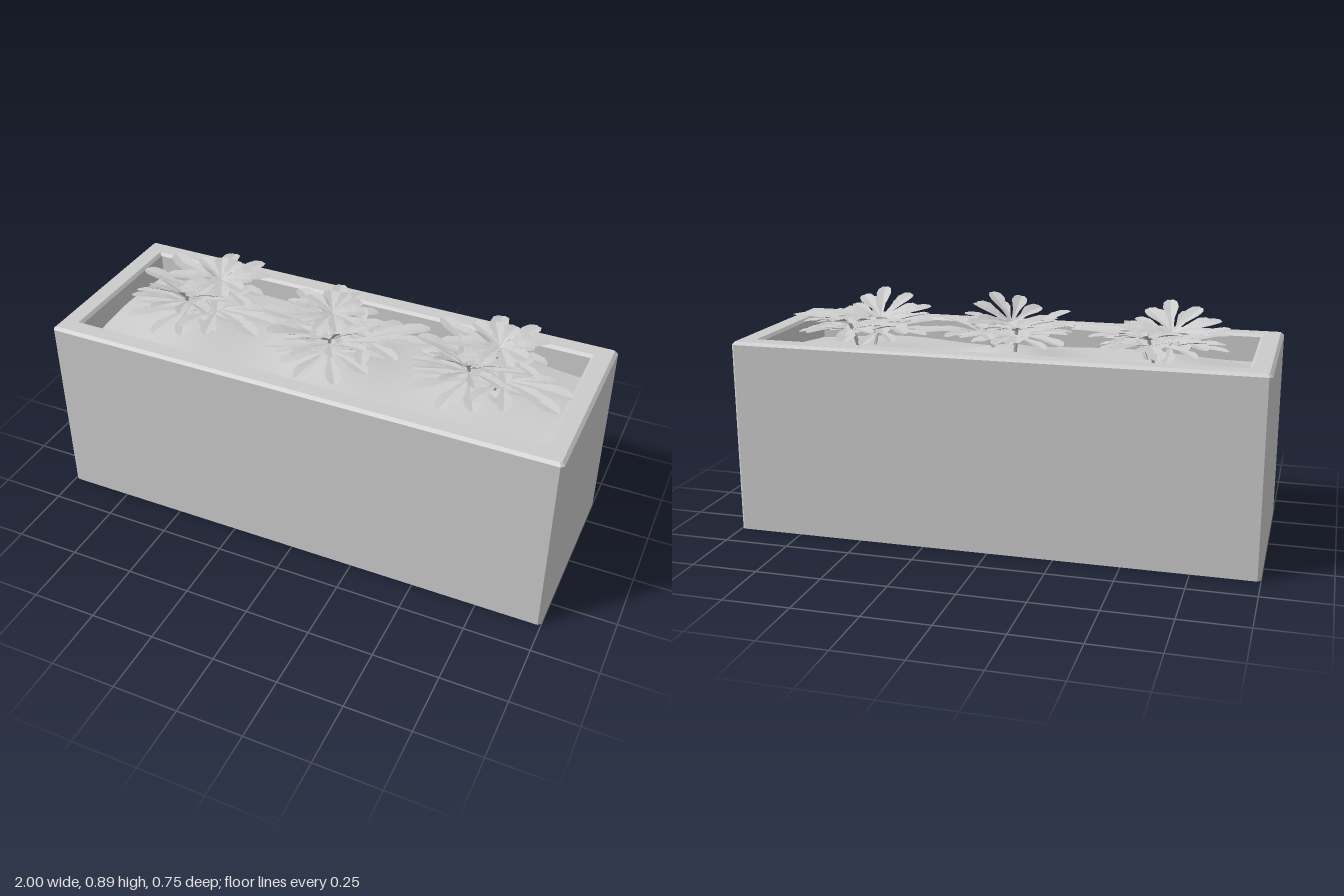
import * as THREE from 'three';
import { mergeGeometries } from 'three/addons/utils/BufferGeometryUtils.js';

const flat = new THREE.MeshStandardMaterial({ color: 0xcccccc, flatShading: true, side: THREE.DoubleSide });
const smooth = new THREE.MeshStandardMaterial({ color: 0xcccccc, side: THREE.DoubleSide });

function seeded(seed) {
  return () => {
    seed = (seed * 16807) % 2147483647;
    return seed / 2147483647;
  };
}

// Skin over equal-length cross-sections of [x, y, z] points
function loft(sections, closed) {
  const n = sections[0].length;
  const index = [];
  for (let s = 0; s < sections.length - 1; s++) {
    for (let i = 0; i < (closed ? n : n - 1); i++) {
      const a = s * n + i, b = s * n + ((i + 1) % n);
      index.push(a, a + n, b, b, a + n, b + n);
    }
  }
  const g = new THREE.BufferGeometry();
  g.setAttribute('position', new THREE.Float32BufferAttribute(sections.flat(2), 3));
  g.setIndex(index);
  g.computeVertexNormals();
  return g;
}

// Rectangle with clipped corners at height y
function clippedRect(hx, hz, c, y) {
  return [
    [hx, y, hz - c], [hx, y, c - hz], [hx - c, y, -hz], [c - hx, y, -hz],
    [-hx, y, c - hz], [-hx, y, hz - c], [c - hx, y, hz], [hx - c, y, hz],
  ];
}

// Bottomless trough: outer wall, bevelled rim, inner wall
function planterBox() {
  const g = loft([
    clippedRect(1, 0.372, 0.012, 0),
    clippedRect(1, 0.372, 0.012, 0.735),
    clippedRect(0.988, 0.36, 0.006, 0.746),
    clippedRect(0.926, 0.3, 0.002, 0.746),
    clippedRect(0.915, 0.29, 0.002, 0.735),
    clippedRect(0.915, 0.29, 0.002, 0.6),
  ], true);
  const mesh = new THREE.Mesh(g, flat);
  mesh.name = 'planterBox';
  return mesh;
}

// Plants: x, z, turn about the vertical
const plants = [[-0.575, -0.05, 0], [-0.005, -0.01, 0.7], [0.58, -0.05, 0]];

// Uneven soil, mounded under each plant
function soil() {
  const g = new THREE.PlaneGeometry(1.83, 0.58, 36, 14).rotateX(-Math.PI / 2);
  const p = g.attributes.position;
  for (let i = 0; i < p.count; i++) {
    const x = p.getX(i), z = p.getZ(i);
    let y = 0.645 + 0.012 * Math.sin(x * 7 + 1) * Math.cos(z * 9);
    for (const [px, pz] of plants) {
      y += 0.055 * Math.exp(-((x - px) ** 2 + (z - pz) ** 2) / 0.05);
    }
    p.setY(i, y);
  }
  g.computeVertexNormals();
  const mesh = new THREE.Mesh(g, smooth);
  mesh.name = 'soil';
  return mesh;
}

// Spoon-shaped leaf along +z: narrow base, broad shoulder, clipped tip
function leaf(length, width, droop) {
  const profile = [[0, 0.12], [0.4, 0.42], [0.72, 1], [0.9, 0.85], [1, 0.35]];
  return loft(profile.map(([t, w]) => {
    const h = w * width / 2, y = 0.03 * t - droop * t * t;
    return [[-h, y + h * 0.2, t * length], [0, y, t * length], [h, y + h * 0.2, t * length]];
  }), false);
}

// Rings: x, y, z of centre, leaf count, length, rise angle, tilt about x, tilt about z
const rings = [
  [-0.03, 0.785, 0.08, 9, 0.165, 0.2, -0.42, 0],
  [-0.03, 0.77, 0.08, 10, 0.2, 0.1, -0.2, 0.05],
  [-0.03, 0.735, 0.07, 11, 0.225, 0.02, 0, 0],
  [0.03, 0.79, -0.09, 10, 0.14, 0.12, 0.1, -0.06],
  [0.03, 0.77, -0.09, 11, 0.205, 0.06, 0, -0.05],
  [0.1, 0.76, 0.07, 8, 0.2, 0.08, 0, 0],
];
// Single long outer leaves: x, y, z of base, heading, length, rise
const runners = [
  [0, 0.77, -0.1, 3.3, 0.23, 0.0],
  [0.08, 0.76, 0.06, 1.45, 0.28, 0.06],
  [0.08, 0.755, 0.06, 1.1, 0.28, 0.05],
  [-0.04, 0.76, 0, -1.5, 0.22, 0.3],
  [-0.04, 0.76, -0.04, -2.2, 0.23, 0.2],
];

function plantGeometry() {
  const rnd = seeded(4711);
  const parts = [];
  const place = (g, heading, rise) => g.rotateX(-rise).rotateY(heading);
  for (const [x, y, z, count, length, rise, tx, tz] of rings) {
    const phase = rnd() * 0.6;
    for (let i = 0; i < count; i++) {
      const l = length * (0.85 + 0.25 * rnd());
      const g = leaf(l, 0.05 + 0.015 * rnd(), 0.03);
      place(g, phase + ((i + 0.3 * rnd()) / count) * Math.PI * 2, rise + 0.12 * (rnd() - 0.5));
      parts.push(g.rotateX(tx).rotateZ(tz).translate(x, y, z));
    }
  }
  for (const [x, y, z, heading, length, rise] of runners) {
    parts.push(place(leaf(length, 0.07, 0.03), heading, rise).translate(x, y, z));
  }
  return mergeGeometries(parts);
}

// Thin stalks from the soil to each ring of leaves
function stemGeometry() {
  return mergeGeometries([0, 3, 5].map((r) => {
    const [x, y, z] = rings[r];
    return new THREE.TubeGeometry(new THREE.QuadraticBezierCurve3(
      new THREE.Vector3(x * 0.4, 0.64, z * 0.4),
      new THREE.Vector3(x * 0.6, 0.72, z * 0.6),
      new THREE.Vector3(x, y, z)), 4, 0.007, 5);
  }));
}

export function createModel() {
  const model = new THREE.Group();
  model.name = 'planter';
  model.add(planterBox(), soil());
  const leaves = plantGeometry(), stems = stemGeometry();
  for (const [x, z, turn] of plants) {
    const plant = new THREE.Group();
    plant.name = 'plant';
    const leafMesh = new THREE.Mesh(leaves, flat);
    leafMesh.name = 'leaves';
    const stemMesh = new THREE.Mesh(stems, flat);
    stemMesh.name = 'stems';
    plant.add(leafMesh, stemMesh);
    plant.position.set(x, 0, z);
    plant.rotation.y = turn;
    model.add(plant);
  }
  return model;
}
